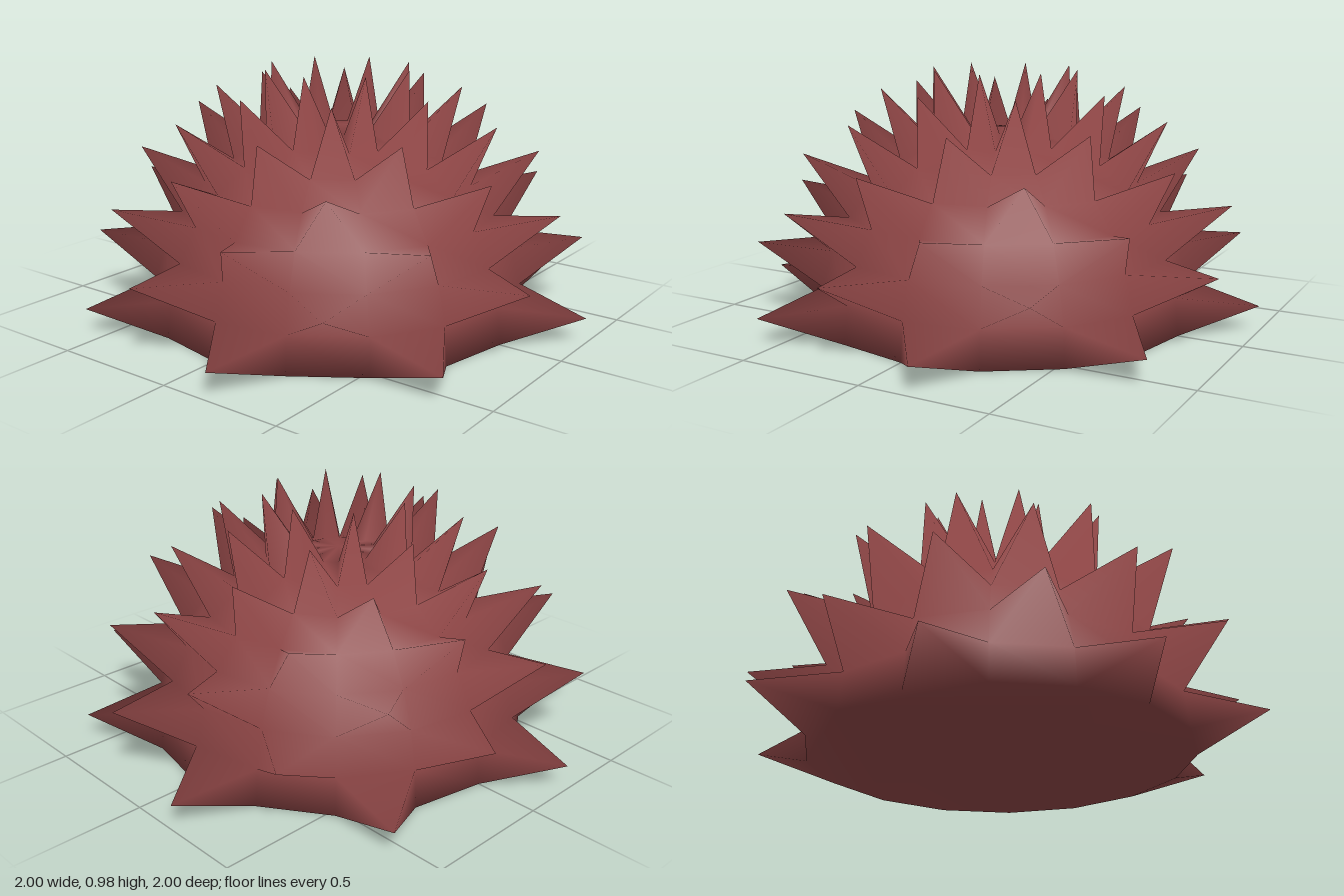
import * as THREE from 'three';

const SIDES = 16;        // cells around
const RINGS = 8;         // cell rows from rim to pole
const CORE = 0.75;       // dome radius
const TIP = 1.0246;      // spike tip radius

// Point on a sphere, with ring and cell counted from the rim and the +x axis
function spherePoint(radius, ring, cell) {
  const up = (ring / RINGS) * Math.PI / 2;
  const turn = (cell / SIDES) * Math.PI * 2;
  return [
    radius * Math.cos(up) * Math.cos(turn),
    radius * Math.sin(up),
    radius * Math.cos(up) * Math.sin(turn),
  ];
}

function spikyDomeGeometry() {
  const points = [];
  const index = [];
  const add = (p) => points.push(p) - 1;
  const at = (ring, cell) => ring * SIDES + (cell % SIDES);

  // Dome lattice and pole
  for (let ring = 0; ring < RINGS; ring++) {
    for (let cell = 0; cell < SIDES; cell++) add(spherePoint(CORE, ring, cell));
  }
  const pole = add([0, CORE, 0]);

  // Cells: every other one, as on a chessboard, rises to a spike
  for (let ring = 0; ring < RINGS - 1; ring++) {
    for (let cell = 0; cell < SIDES; cell++) {
      const corners = [at(ring, cell), at(ring + 1, cell), at(ring + 1, cell + 1), at(ring, cell + 1)];
      if ((ring + cell) % 2 === 1) {
        const tip = add(spherePoint(TIP, ring + 0.5, cell + 0.5));
        corners.forEach((c, k) => index.push(c, corners[(k + 1) % 4], tip));
      } else {
        const [a, b, c, d] = corners;
        index.push(a, b, c, a, c, d);
      }
    }
  }

  // Plain cap around the pole
  for (let cell = 0; cell < SIDES; cell++) {
    index.push(at(RINGS - 1, cell), pole, at(RINGS - 1, cell + 1));
  }

  // Flat underside, fanned from one rim corner
  const start = 13;
  for (let k = 1; k < SIDES - 1; k++) {
    index.push(at(0, start), at(0, start + k), at(0, start + k + 1));
  }

  const geometry = new THREE.BufferGeometry();
  geometry.setAttribute('position', new THREE.Float32BufferAttribute(points.flat(), 3));
  geometry.setIndex(index);
  geometry.computeVertexNormals();
  return geometry;
}

export function createModel() {
  const model = new THREE.Group();
  model.name = 'spikyDomeModel';
  const dome = new THREE.Mesh(
    spikyDomeGeometry(),
    new THREE.MeshStandardMaterial({ color: 0x8b4444 })
  );
  dome.name = 'spikyDome';
  model.add(dome);
  return model;
}
